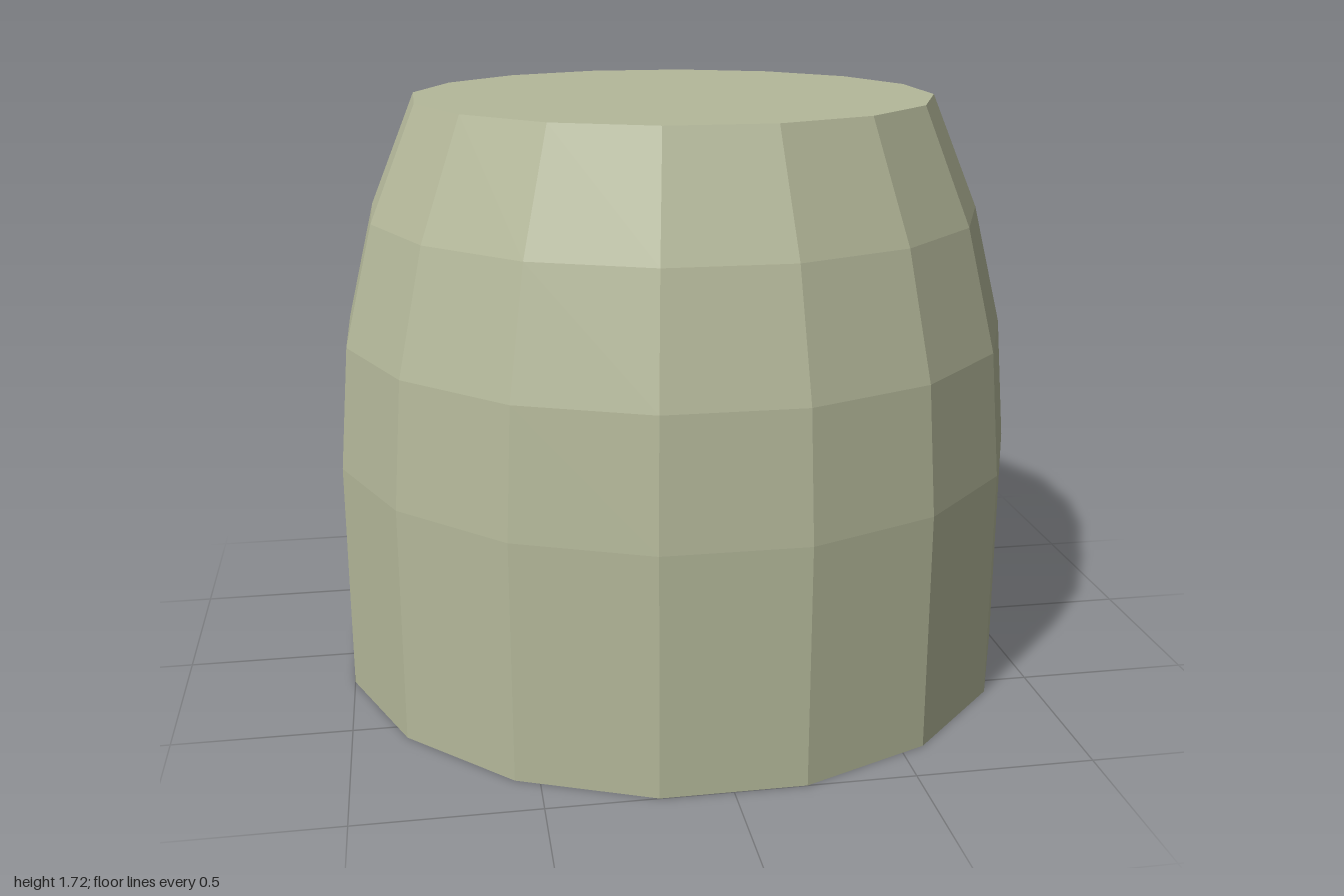
import * as THREE from 'three';

const SIDES = 16;

export function createModel() {
  const group = new THREE.Group();
  const material = new THREE.MeshStandardMaterial({ color: 0xb4b89a, flatShading: true });

  // Half-width across the flats and height, from the base up to the flat top
  const profile = [[0, 0], [1, 0], [1, 0.68], [0.97, 1.04], [0.885, 1.39], [0.75, 1.72], [0, 1.72]];
  const toCorner = 1 / Math.cos(Math.PI / SIDES);
  const points = profile.map(([r, y]) => new THREE.Vector2(r * toCorner, y));

  // Faceted barrel-shaped body with closed ends, flat sides facing each axis
  const body = new THREE.Mesh(new THREE.LatheGeometry(points, SIDES, Math.PI / SIDES), material);
  body.name = 'taperedBody';
  group.add(body);
  return group;
}
